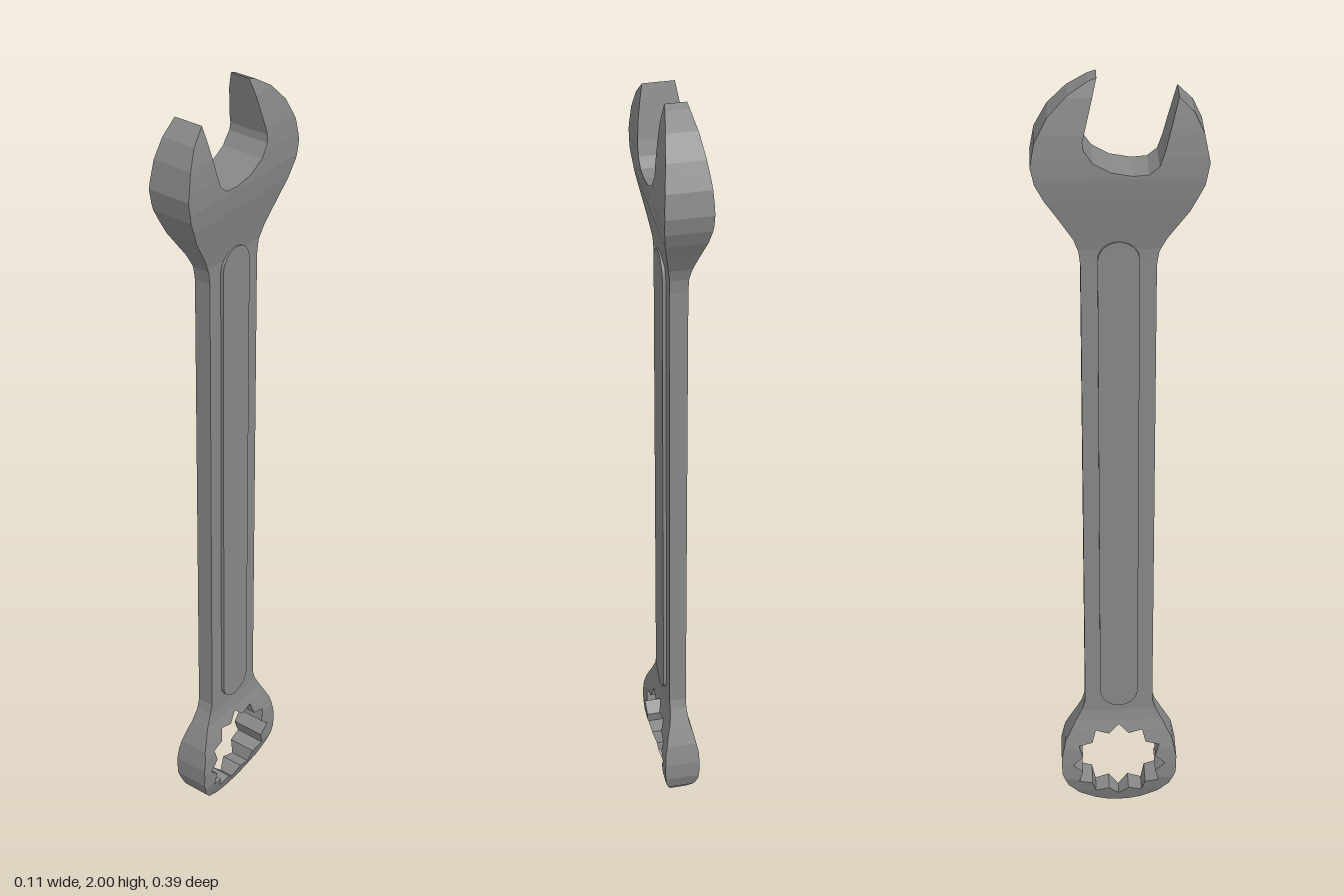
import * as THREE from 'three';

// Half thickness of the forged body at chosen heights: [y, half thickness]
const PROFILE = [
  [0, 0.006], [0.05, 0.026], [0.1, 0.042], [0.15, 0.045], [0.2, 0.043], [0.25, 0.033],
  [0.28, 0.025], [0.31, 0.021], [1.57, 0.021], [1.6, 0.022], [1.64, 0.029], [1.68, 0.037],
  [1.73, 0.047], [1.78, 0.053], [1.83, 0.053], [1.88, 0.049], [1.92, 0.043], [1.96, 0.036], [2, 0.024],
];

function halfThickness(y) {
  for (let i = 1; i < PROFILE.length; i++) {
    const [y0, t0] = PROFILE[i - 1], [y1, t1] = PROFILE[i];
    if (y <= y1) return THREE.MathUtils.lerp(t0, t1, (y - y0) / (y1 - y0));
  }
  return PROFILE[PROFILE.length - 1][1];
}

const toPoints = (pairs) => pairs.map(([s, y]) => new THREE.Vector2(s, y));

// Keeps the part of a convex polygon above (sign 1) or below (sign -1) a height
function clip(poly, level, sign) {
  const out = [];
  poly.forEach((a, i) => {
    const b = poly[(i + 1) % poly.length];
    const da = (a.y - level) * sign, db = (b.y - level) * sign;
    if (da >= 0) out.push(a);
    if (da * db < 0) out.push(a.clone().lerp(b, da / (da - db)));
  });
  return out;
}

// Plate with an outline and a hole, whose thickness follows PROFILE
function forgedPlate(outline, hole) {
  const positions = [];
  const put = (p, side) => positions.push(side * halfThickness(p.y), p.y, -p.x);
  const all = [...outline, ...hole];

  // Both faces, cut into bands so that they bend at every profile height
  for (const face of THREE.ShapeUtils.triangulateShape(outline, [hole])) {
    let tri = face.map((i) => all[i]);
    if (THREE.ShapeUtils.area(tri) < 0) tri = tri.reverse();
    for (let k = 1; k < PROFILE.length; k++) {
      const band = clip(clip(tri, PROFILE[k - 1][0], 1), PROFILE[k][0], -1);
      if (band.length < 3 || Math.abs(THREE.ShapeUtils.area(band)) < 1e-8) continue;
      for (let i = 1; i < band.length - 1; i++) {
        [band[0], band[i], band[i + 1]].forEach((p) => put(p, 1));
        [band[0], band[i + 1], band[i]].forEach((p) => put(p, -1));
      }
    }
  }

  // Rim walls, split at the same heights
  for (const loop of [outline, hole]) {
    loop.forEach((a, i) => {
      const b = loop[(i + 1) % loop.length];
      const cuts = PROFILE.map(([y]) => (y - a.y) / (b.y - a.y))
        .filter((t) => t > 1e-4 && t < 1 - 1e-4).sort((m, n) => m - n);
      const steps = [0, ...cuts, 1].map((t) => a.clone().lerp(b, t));
      for (let k = 1; k < steps.length; k++) {
        const p = steps[k - 1], q = steps[k];
        put(p, -1); put(q, -1); put(q, 1);
        put(p, -1); put(q, 1); put(p, 1);
      }
    });
  }

  const geometry = new THREE.BufferGeometry();
  geometry.setAttribute('position', new THREE.Float32BufferAttribute(positions, 3));
  geometry.computeVertexNormals();
  return geometry;
}

export function createModel() {
  const group = new THREE.Group();
  group.name = 'combinationWrench';
  const material = new THREE.MeshStandardMaterial({ color: 0x888888 });
  // The shaft axis lies slightly behind the centre, as the jaws are uneven
  const add = (name, geometry) => {
    const mesh = new THREE.Mesh(geometry, material);
    mesh.name = name;
    mesh.position.z = -0.003;
    group.add(mesh);
  };

  // Ring end: one side, from the bottom up to the shaft
  const ringSide = [
    [0.03, 0.003], [0.06, 0.013], [0.1, 0.038], [0.13, 0.075], [0.146, 0.12],
    [0.147, 0.17], [0.136, 0.225], [0.112, 0.275], [0.092, 0.315], [0.085, 0.34],
  ];
  // Open end: long jaw, throat, short jaw
  const openEnd = [
    [0.085, 1.56], [0.089, 1.595], [0.1, 1.627], [0.132, 1.68], [0.162, 1.727], [0.183, 1.768],
    [0.192, 1.81], [0.182, 1.865], [0.153, 1.92], [0.11, 1.965], [0.066, 1.993], [0.047, 2],
    [0.079, 1.865], [0.077, 1.847], [0.057, 1.818], [0.018, 1.796], [-0.03, 1.787], [-0.065, 1.79],
    [-0.087, 1.808], [-0.098, 1.84], [-0.128, 1.96], [-0.162, 1.925], [-0.183, 1.88],
    [-0.196, 1.815], [-0.186, 1.762], [-0.155, 1.697], [-0.107, 1.627], [-0.09, 1.593], [-0.085, 1.56],
  ];
  const ringMirror = ringSide.map(([s, y]) => [-s, y]).reverse();
  const outline = toPoints([[0, 0], ...ringSide, ...openEnd, ...ringMirror]);

  // Twelve-point socket, wound against the outline
  const socket = [];
  for (let i = 0; i < 24; i++) {
    const r = i % 2 ? 0.096 : 0.118, angle = (i / 12) * Math.PI;
    socket.push([r * Math.sin(angle), 0.15 + r * Math.cos(angle)]);
  }
  add('body', forgedPlate(outline, toPoints(socket)));

  // Raised rounded panels on both faces of the shaft
  const r = 0.047, low = 0.33 + r, high = 1.62 - r, depth = 0.015;
  const panel = new THREE.Shape();
  panel.absarc(0, low, r, Math.PI, Math.PI * 2);
  panel.absarc(0, high, r, 0, Math.PI);
  for (const side of [1, -1]) {
    const geometry = new THREE.ExtrudeGeometry(panel, { depth, bevelEnabled: false, curveSegments: 10 });
    geometry.translate(0, 0, 0.029 - depth);
    geometry.rotateY((side * Math.PI) / 2);
    add(side > 0 ? 'leftPanel' : 'rightPanel', geometry);
  }
  return group;
}
